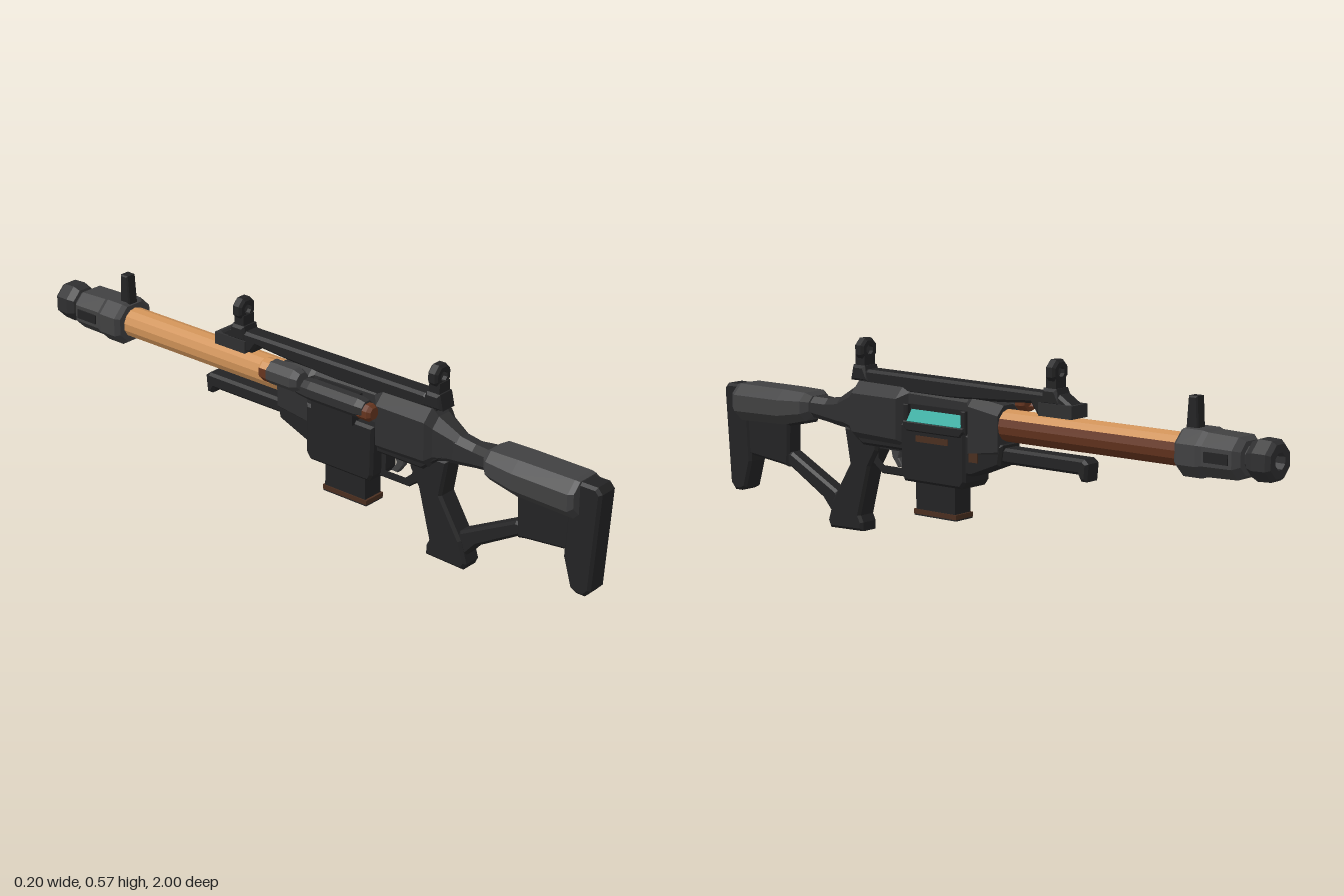
import * as THREE from 'three';

const CX = 0.025; // middle plane of the rifle
const mat = (name, color) => {
  const m = new THREE.MeshStandardMaterial({ color, flatShading: true });
  m.name = name;
  return m;
};

export function createModel() {
  const root = new THREE.Group();
  root.name = 'rifle';
  const gunmetal = mat('gunmetal grey', 0x404041);
  const dark = mat('dark grey', 0x2f2f30);
  const black = mat('matte black', 0x232324);
  const copper = mat('bright copper', 0xcf9258);
  const brown = mat('red brown', 0x66351f);
  const umber = mat('dark umber', 0x4a2e1f);
  const teal = mat('teal', 0x25aa9e);

  const add = (name, geo, material) => {
    const mesh = new THREE.Mesh(geo, material);
    mesh.name = name;
    root.add(mesh);
    return mesh;
  };

  const box = (name, m, x0, x1, y0, y1, z0, z1) => {
    const mesh = add(name, new THREE.BoxGeometry(x1 - x0, y1 - y0, z1 - z0), m);
    mesh.position.set((x0 + x1) / 2, (y0 + y1) / 2, (z0 + z1) / 2);
    return mesh;
  };

  // Side outline of [z, y] points, extruded across x with bevelled edges
  const side = (name, m, pts, width, cx = CX, bevel = 0.008, hole = null) => {
    const v = (list) => list.map(([z, y]) => new THREE.Vector2(-z, y));
    const shape = new THREE.Shape(v(pts));
    if (hole) shape.holes.push(new THREE.Path(v(hole)));
    const geo = new THREE.ExtrudeGeometry(shape, {
      depth: width - 2 * bevel, bevelEnabled: true, bevelThickness: bevel,
      bevelSize: bevel, bevelOffset: -bevel, bevelSegments: 1,
    });
    geo.translate(0, 0, -(width - 2 * bevel) / 2);
    geo.rotateY(Math.PI / 2);
    geo.translate(cx, 0, 0);
    return add(name, geo, m);
  };

  // Chamfered-rectangle sections [z, yLow, yHigh, halfWidth], from +z to -z
  const loft = (name, m, sections) => {
    const pos = [], idx = [], n = 8;
    for (const [z, lo, hi, w] of sections) {
      const c = Math.min(w, (hi - lo) / 2) * 0.56;
      [[w, lo + c], [w, hi - c], [w - c, hi], [c - w, hi],
        [-w, hi - c], [-w, lo + c], [c - w, lo], [w - c, lo]]
        .forEach(([x, y]) => pos.push(CX + x, y, z));
    }
    const last = (sections.length - 1) * n;
    for (let s = 0; s < last; s += n) {
      for (let k = 0; k < n; k++) {
        const a = s + k, b = s + (k + 1) % n;
        idx.push(a, a + n, b + n, a, b + n, b);
      }
    }
    for (let k = 1; k < n - 1; k++) {
      idx.push(0, k, k + 1, last, last + k + 1, last + k);
    }
    const geo = new THREE.BufferGeometry();
    geo.setAttribute('position', new THREE.Float32BufferAttribute(pos, 3));
    geo.setIndex(idx);
    geo.computeVertexNormals();
    return add(name, geo, m);
  };

  // Turned part along z: profile of [radius, z] towards -z; angles run from the top towards +x
  const turned = (name, m, profile, x, y, sides = 8, from = 180 / sides, sweep = 360) => {
    const pts = profile.map(([r, z]) => new THREE.Vector2(r, -z));
    const rad = Math.PI / 180;
    const geo = new THREE.LatheGeometry(pts, sides, from * rad, sweep * rad);
    geo.rotateX(-Math.PI / 2);
    geo.translate(x, y, 0);
    return add(name, geo, m);
  };

  // Stock
  side('buttPad', black, [[1, 0.375], [0.985, 0.392], [0.93, 0.392], [0.9, 0.36],
    [0.89, 0.16], [0.915, 0.075], [0.935, 0.065], [0.962, 0.065], [0.98, 0.085]], 0.07);
  loft('cheekRest', gunmetal, [[0.935, 0.3, 0.395, 0.062], [0.92, 0.285, 0.397, 0.07],
    [0.74, 0.29, 0.397, 0.07], [0.65, 0.31, 0.395, 0.064], [0.63, 0.325, 0.385, 0.045]]);
  side('stockBody', black, [[0.92, 0.33], [0.65, 0.33], [0.66, 0.3], [0.73, 0.285],
    [0.735, 0.16], [0.76, 0.165], [0.9, 0.18]], 0.06);
  side('stockStrut', black, [[0.78, 0.2], [0.725, 0.205], [0.54, 0.11], [0.5, 0.03],
    [0.56, 0.04], [0.6, 0.085], [0.74, 0.165]], 0.05);
  loft('neck', dark, [[0.65, 0.325, 0.385, 0.042], [0.58, 0.312, 0.382, 0.03],
    [0.53, 0.305, 0.39, 0.032], [0.47, 0.3, 0.41, 0.04]]);

  // Grip and trigger
  side('grip', black, [[0.5, 0.31], [0.36, 0.31], [0.37, 0.25], [0.4, 0.2], [0.44, 0.05],
    [0.43, 0.03], [0.43, 0.004], [0.56, 0], [0.57, 0.02], [0.55, 0.085], [0.48, 0.2]], 0.068);
  side('triggerGuard', black, [[0.4, 0.28], [0.25, 0.28], [0.25, 0.185], [0.36, 0.185], [0.4, 0.215]],
    0.044, CX, 0.004, [[0.376, 0.262], [0.274, 0.262], [0.274, 0.206], [0.35, 0.206], [0.376, 0.228]]);
  side('trigger', gunmetal, [[0.338, 0.27], [0.295, 0.27], [0.305, 0.235], [0.286, 0.208],
    [0.31, 0.208], [0.33, 0.235]], 0.02, CX, 0.003);

  // Receiver and handguard, waisted beside the window
  loft('receiver', dark, [[0.53, 0.31, 0.39, 0.03], [0.46, 0.29, 0.43, 0.05], [0.44, 0.27, 0.452, 0.062],
    [0.27, 0.265, 0.45, 0.06], [0.245, 0.265, 0.45, 0.032], [0.025, 0.26, 0.445, 0.032],
    [0.01, 0.26, 0.445, 0.046], [-0.1, 0.275, 0.43, 0.048]]);
  side('lowerReceiver', black, [[0.5, 0.33], [0.1, 0.34], [0.02, 0.34], [-0.11, 0.32],
    [-0.1, 0.26], [0, 0.22], [0.1, 0.22], [0.26, 0.265], [0.42, 0.265]], 0.085);
  side('underRail', black, [[-0.06, 0.312], [-0.385, 0.312], [-0.4, 0.3], [-0.395, 0.25],
    [-0.375, 0.25], [-0.365, 0.268], [-0.06, 0.268]], 0.06);
  box('handguardPin', umber, 0.064, 0.071, 0.262, 0.292, -0.025, 0.008);

  // Magazine
  side('magazineWell', black, [[0.265, 0.35], [0.02, 0.35], [0.02, 0.2], [0.035, 0.18],
    [0.25, 0.18], [0.262, 0.2]], 0.114, 0.017);
  box('magazine', black, -0.009, 0.059, 0.09, 0.2, 0.068, 0.215);
  box('magazineRim', umber, -0.012, 0.062, 0.087, 0.101, 0.062, 0.222);
  box('magazineFloor', black, -0.011, 0.061, 0.083, 0.087, 0.063, 0.221);
  box('wellInlay', umber, 0.07, 0.077, 0.3, 0.318, 0.08, 0.2);

  // Side window: teal panel leaning back inside a dark frame
  const panel = box('windowPanel', teal, -0.003, 0.003, -0.02, 0.02, -0.1, 0.1);
  panel.position.set(0.066, 0.372, 0.132);
  panel.rotation.z = 0.6;
  side('windowSill', black, [[0.25, 0.357], [0.02, 0.357], [0.02, 0.345], [0.035, 0.328],
    [0.235, 0.328], [0.25, 0.345]], 0.04, 0.06, 0.004);
  box('windowLintel', black, 0.03, 0.062, 0.39, 0.404, 0.02, 0.25);
  for (const z of [0.024, 0.24]) {
    side('windowEnd', black, [[z + 0.01, 0.404], [z - 0.008, 0.404], [z - 0.008, 0.34], [z + 0.01, 0.34]],
      0.04, 0.056, 0.003);
  }

  // Top rail
  side('topRail', black, [[0.45, 0.44], [0.44, 0.475], [0.41, 0.485], [-0.3, 0.48], [-0.34, 0.455],
    [-0.35, 0.42], [-0.22, 0.42], [-0.2, 0.448], [-0.1, 0.44], [0.1, 0.43], [0.44, 0.43]], 0.058);
  box('frontRailBlock', dark, -0.011, 0.061, 0.418, 0.455, -0.35, -0.235);

  // Folding sights with ring heads
  for (const z of [0.44, -0.27]) {
    side('sightBase', black, [[z + 0.035, 0.45], [z + 0.025, 0.495], [z - 0.02, 0.495], [z - 0.04, 0.45]], 0.066);
    box('sightStem', black, 0.003, 0.047, 0.48, 0.525, z - 0.016, z + 0.02);
    turned('sightRing', black, [[0.015, z], [0.015, z + 0.017], [0.028, z + 0.017], [0.036, z + 0.01],
      [0.036, z - 0.01], [0.028, z - 0.017], [0.015, z - 0.017], [0.015, z]], CX, 0.54);
    turned('sightLens', dark, [[0, z + 0.004], [0.016, z + 0.004], [0.016, z - 0.004], [0, z - 0.004]], CX, 0.54);
  }

  // Barrel: bright upper skin, brown underside
  const barrel = [[0.046, -0.05], [0.046, -0.74]];
  turned('barrelTop', copper, barrel, CX, 0.373, 7, -135, 195);
  turned('barrelUnderside', brown, barrel, CX, 0.373, 6, 60, 165);

  // Muzzle
  loft('muzzleShroud', gunmetal, [[-0.712, 0.318, 0.43, 0.062], [-0.725, 0.31, 0.437, 0.074],
    [-0.785, 0.31, 0.437, 0.074], [-0.8, 0.315, 0.433, 0.067], [-0.895, 0.318, 0.43, 0.067],
    [-0.912, 0.33, 0.42, 0.05]]);
  for (const s of [-1, 1]) box('shroudSlot', black, CX + s * 0.067 - 0.004, CX + s * 0.067 + 0.004, 0.36, 0.388, -0.885, -0.81);
  turned('muzzleBrake', dark, [[0.035, -0.88], [0.035, -0.918], [0.05, -0.926], [0.06, -0.948],
    [0.058, -0.988], [0.048, -1], [0.024, -1], [0.02, -0.93], [0, -0.93]], CX, 0.375);
  side('frontPost', black, [[-0.715, 0.425], [-0.722, 0.52], [-0.75, 0.52], [-0.755, 0.425]], 0.036, CX, 0.004);

  // Side-mounted lamp on the right
  turned('lampBody', gunmetal, [[0, 0.035], [0.026, 0.035], [0.036, 0.015], [0.036, -0.072], [0, -0.072]], -0.069, 0.432);
  const rim = [[0.035, -0.07], [0.035, -0.096], [0.03, -0.104]];
  turned('lampRimTop', copper, rim, -0.069, 0.432, 4, -67.5, 135);
  turned('lampRimUnderside', brown, rim, -0.069, 0.432, 5, 67.5, 225);
  turned('lampLens', brown, [[0.031, -0.104], [0.02, -0.104], [0.018, -0.095], [0, -0.095]], -0.069, 0.432);
  turned('lampTube', dark, [[0, 0.255], [0.026, 0.255], [0.031, 0.23], [0.031, 0.06],
    [0.026, 0.01], [0, 0.01]], -0.052, 0.408);
  turned('lampTail', brown, [[0, 0.28], [0.018, 0.28], [0.026, 0.27], [0.026, 0.235], [0, 0.235]], -0.052, 0.402);
  box('lampMount', black, -0.05, 0.0, 0.34, 0.425, 0.05, 0.2);

  return root;
}
